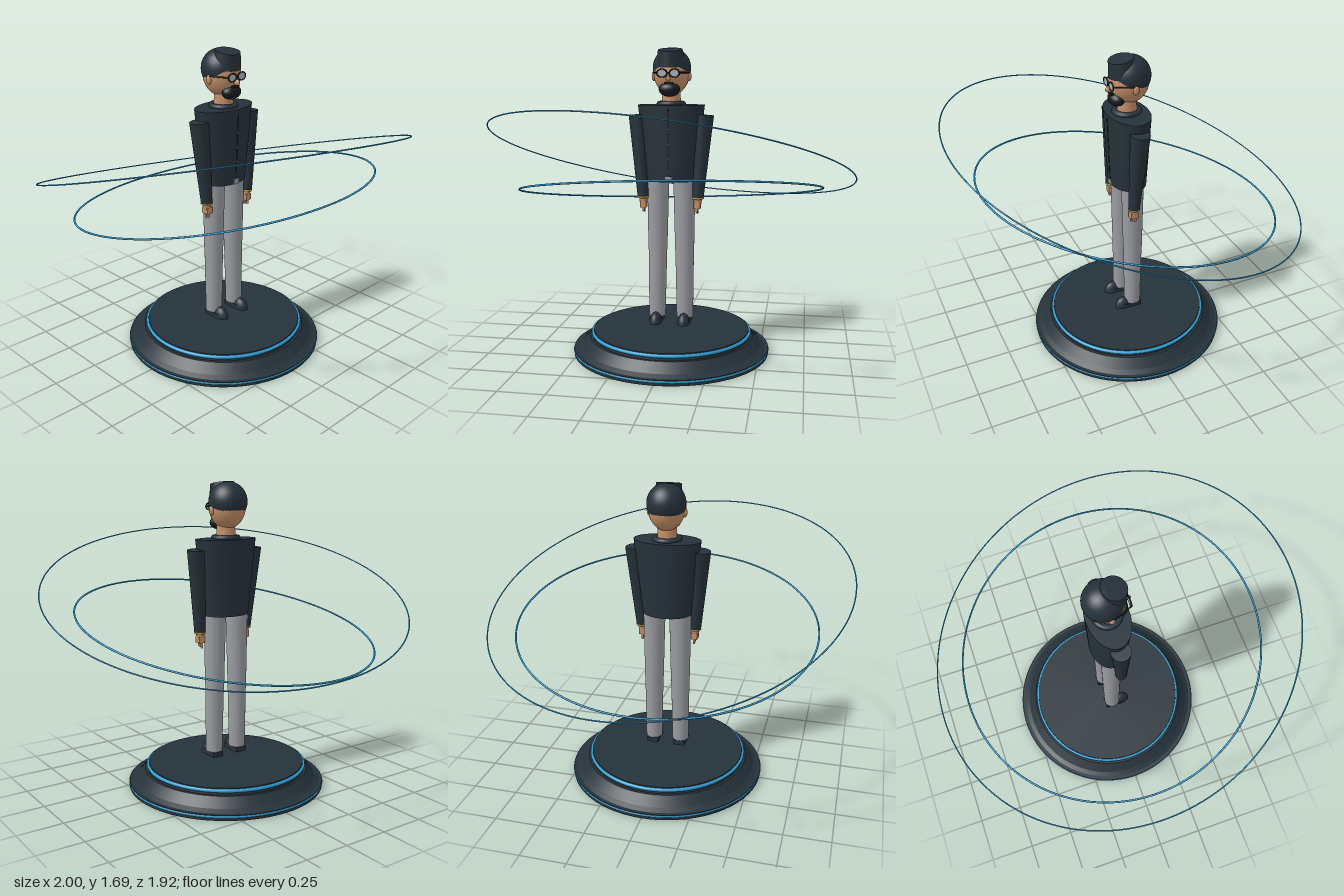
import * as THREE from 'three';

const mat = (name, color, side = THREE.FrontSide) => {
  const m = new THREE.MeshStandardMaterial({ color, side });
  m.name = name;
  return m;
};

export function createModel() {
  const cloth = mat('dark slate', 0x26323a);
  const hairMat = mat('hair slate', 0x26313a, THREE.DoubleSide);
  const black = mat('near black', 0x171b1f);
  const blue = mat('glow blue', 0x2f9fd6);
  const grey = mat('trouser grey', 0x9a9ca1);
  const skin = mat('skin', 0xc4906a);
  const gold = mat('gold', 0xc8962e);
  const lensMat = mat('lens', 0xaab4bc);

  const root = new THREE.Group();
  root.name = 'figureOnPedestal';

  const add = (name, geo, material, pos = [0, 0, 0], scale = [1, 1, 1], rot = [0, 0, 0], parent = root) => {
    const m = new THREE.Mesh(geo, material);
    m.name = name;
    m.position.set(...pos);
    m.scale.set(...scale);
    m.rotation.set(...rot);
    parent.add(m);
    return m;
  };
  const sphere = new THREE.SphereGeometry(1, 32, 20);
  const box = new THREE.BoxGeometry(1, 1, 1);
  const flat = [Math.PI / 2, 0, 0];

  // tapered cylinder from point a (radius ra) up to point b (radius rb)
  const limb = (name, a, b, ra, rb, material, parent = root) => {
    const A = new THREE.Vector3(...a), B = new THREE.Vector3(...b);
    const dir = B.clone().sub(A);
    const m = add(name, new THREE.CylinderGeometry(rb, ra, dir.length(), 32), material,
      A.clone().add(B).multiplyScalar(0.5).toArray(), [1, 1, 1], [0, 0, 0], parent);
    m.quaternion.setFromUnitVectors(new THREE.Vector3(0, 1, 0), dir.normalize());
    return m;
  };

  // stepped pedestal: stacked tapered discs with sharp edges
  const tiers = [[0, 0.03, 0.55, 0.55], [0.03, 0.045, 0.53, 0.505], [0.045, 0.095, 0.505, 0.46], [0.095, 0.131, 0.445, 0.438]];
  tiers.forEach(([y0, y1, r0, r1], i) =>
    add('pedestalTier' + (i + 1), new THREE.CylinderGeometry(r1, r0, y1 - y0, 72), cloth, [0, (y0 + y1) / 2, 0]));
  add('lowerGlowRing', new THREE.TorusGeometry(0.546, 0.007, 8, 96), blue, [0, 0.021, 0], [1, 1, 1], flat);
  add('upperGlowRing', new THREE.TorusGeometry(0.442, 0.01, 8, 96), blue, [0, 0.117, 0], [1, 1, 1], flat);

  // tilted orbit rings, each lying in the plane y = h + a x + b z
  const orbit = (name, R, tube, h, a, b) => {
    const m = add(name, new THREE.TorusGeometry(R, tube, 8, 160), blue, [0, h, 0]);
    m.quaternion.setFromUnitVectors(new THREE.Vector3(0, 0, 1), new THREE.Vector3(-a, 1, -b).normalize());
  };
  orbit('outerOrbitRing', 1.0, 0.0035, 1.09, -0.105, 0.302);
  orbit('innerOrbitRing', 0.827, 0.005, 0.917, 0.039, 0.2);

  // jacket
  const torso = new THREE.CylinderGeometry(1, 1, 0.415, 48);
  const p = torso.attributes.position;
  for (let i = 0; i < p.count; i++) {
    const top = p.getY(i) > 0;
    p.setX(i, p.getX(i) * (top ? 0.184 : 0.135));
    p.setZ(i, p.getZ(i) * (top ? 0.112 : 0.098));
  }
  torso.computeVertexNormals();
  add('jacket', torso, cloth, [0, 1.18, 0]);
  add('collar', new THREE.TorusGeometry(0.064, 0.016, 12, 40), cloth, [0, 1.392, 0], [1, 1, 1], flat);
  add('placket', box, black, [0, 1.18, 0.104], [0.006, 0.38, 0.006], [0.034, 0, 0]);
  [1.26, 1.18, 1.1, 1.03].forEach((y) =>
    add('button', sphere, lensMat, [0, y, 0.108 - (1.26 - y) * 0.034], [0.004, 0.004, 0.004]));
  add('buckle', box, grey, [0, 0.988, 0.099], [0.036, 0.03, 0.009]);

  // limbs, mirrored
  for (const s of [-1, 1]) {
    const side = s > 0 ? 'left' : 'right';
    limb(side + 'Thigh', [s * 0.076, 0.58, 0], [s * 0.073, 0.99, 0], 0.053, 0.061, grey);
    limb(side + 'Shin', [s * 0.079, 0.2, 0.003], [s * 0.076, 0.58, 0], 0.046, 0.052, grey);
    add(side + 'ShoeSole', box, cloth, [s * 0.079, 0.183, 0.015], [0.066, 0.028, 0.11]);
    add(side + 'ShoeToe', new THREE.SphereGeometry(1, 24, 10, 0, Math.PI * 2, 0, Math.PI / 2), cloth,
      [s * 0.079, 0.17, 0.058], [0.035, 0.06, 0.053]);
    add(side + 'ShoeToeBase', new THREE.CircleGeometry(1, 24), cloth,
      [s * 0.079, 0.17, 0.058], [0.035, 0.053, 1], flat);

    limb(side + 'Sleeve', [s * 0.153, 0.885, 0.028], [s * 0.183, 1.335, 0.008], 0.031, 0.052, cloth);
    add(side + 'Cuff', new THREE.TorusGeometry(0.027, 0.006, 10, 28), gold, [s * 0.153, 0.881, 0.028], [1, 1, 1], flat);
    limb(side + 'Wrist', [s * 0.151, 0.845, 0.029], [s * 0.153, 0.885, 0.028], 0.02, 0.024, skin);
    add(side + 'Hand', box, skin, [s * 0.15, 0.842, 0.029], [0.036, 0.036, 0.042]);
    for (let i = 0; i < 3; i++)
      limb(side + 'Finger', [s * 0.148, 0.795 + i * 0.004, 0.017 + i * 0.012],
        [s * 0.15, 0.84, 0.017 + i * 0.012], 0.006, 0.008, skin);
  }

  // head
  const head = new THREE.Group();
  head.name = 'head';
  root.add(head);
  const part = (name, geo, material, pos, scale, rot) => add(name, geo, material, pos, scale, rot, head);
  part('neck', new THREE.CylinderGeometry(0.05, 0.053, 0.1, 32), skin, [0, 1.42, 0]);
  part('face', sphere, skin, [0, 1.56, -0.013], [0.098, 0.12, 0.106]);
  part('nose', sphere, skin, [0, 1.527, 0.098], [0.011, 0.016, 0.022]);
  part('hair', new THREE.SphereGeometry(0.107, 40, 20, 0, Math.PI * 2, 0, 1.87), hairMat,
    [0, 1.585, -0.02], [0.97, 1, 1], [-0.24, 0, 0]);
  part('quiff', new THREE.CylinderGeometry(0.066, 0.078, 0.085, 40), hairMat,
    [0, 1.64, 0.026], [1, 1, 1], [0.17, 0, 0]);
  part('moustache', box, black, [0, 1.505, 0.088], [0.044, 0.011, 0.016]);
  part('beard', sphere, black, [0, 1.471, 0.06], [0.058, 0.038, 0.042]);

  // ears and glasses
  for (const s of [-1, 1]) {
    part('ear', sphere, skin, [s * 0.097, 1.54, -0.008], [0.012, 0.026, 0.016]);
    part('glassesFrame', new THREE.TorusGeometry(0.027, 0.004, 8, 28), black, [s * 0.034, 1.557, 0.101], [1, 0.78, 1]);
    part('lens', new THREE.CylinderGeometry(0.026, 0.026, 0.004, 28), lensMat,
      [s * 0.034, 1.557, 0.1], [1, 1, 0.78], flat);
    limb('glassesTemple', [s * 0.061, 1.56, 0.1], [s * 0.1, 1.56, 0.0], 0.004, 0.004, black, head);
  }
  part('glassesBridge', box, black, [0, 1.56, 0.102], [0.016, 0.006, 0.006]);

  return root;
}
